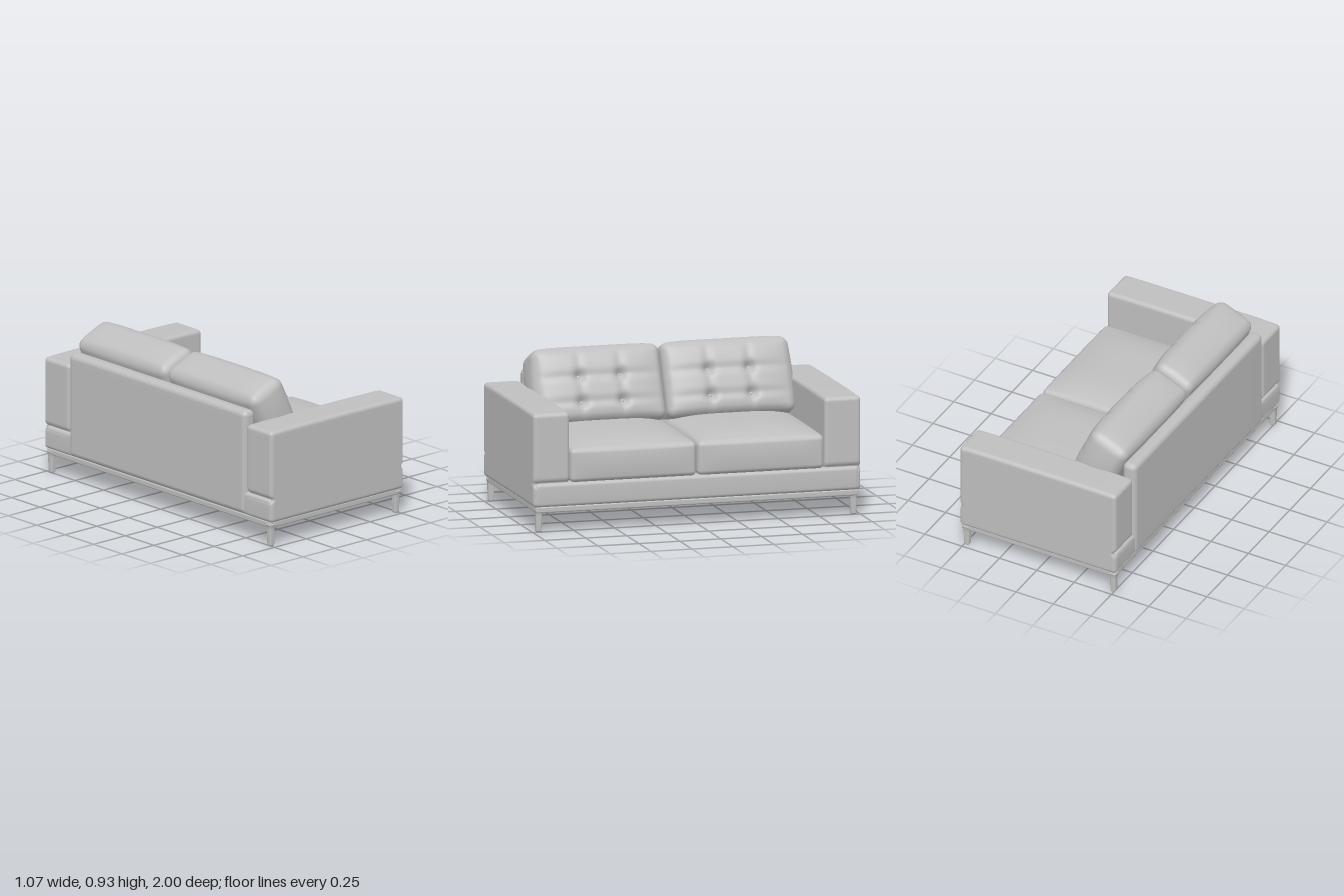
import * as THREE from 'three';
import { mergeVertices } from 'three/addons/utils/BufferGeometryUtils.js';

const fabric = new THREE.MeshStandardMaterial({ color: 0xbfbfbf });
fabric.name = 'light grey';

// Rounded box with a regular grid on its faces, so that it can be puffed and dented.
// n gives the segments per axis between the rounded edges; deform(p, u) gets u in -1..1.
function softBox(size, r, n = [4, 4, 4], deform = null, k = 4) {
  const geo = new THREE.BoxGeometry(1, 1, 1, ...n.map((s) => s + 2 * k));
  const pos = geo.attributes.position;
  const half = size.map((s) => s / 2);
  const spread = (t, a) => {
    const total = n[a] + 2 * k;
    const i = Math.round((t + 0.5) * total);
    const flat = half[a] - r;
    const corner = (j) => flat + r * Math.tan((j / k) * Math.PI / 4);
    if (i < k) return -corner(k - i);
    if (i > total - k) return corner(i - total + k);
    return flat * (2 * (i - k) / n[a] - 1);
  };
  const p = new THREE.Vector3();
  const inner = new THREE.Vector3();
  const limit = new THREE.Vector3(half[0] - r, half[1] - r, half[2] - r);
  const low = limit.clone().negate();
  for (let i = 0; i < pos.count; i++) {
    p.set(spread(pos.getX(i), 0), spread(pos.getY(i), 1), spread(pos.getZ(i), 2));
    inner.copy(p).clamp(low, limit);
    p.sub(inner).setLength(r).add(inner);
    if (deform) deform(p, new THREE.Vector3(p.x / half[0], p.y / half[1], p.z / half[2]));
    pos.setXYZ(i, p.x, p.y, p.z);
  }
  geo.deleteAttribute('uv');
  geo.deleteAttribute('normal');
  geo.clearGroups();
  const smooth = mergeVertices(geo, 1e-5);
  smooth.computeVertexNormals();
  return smooth;
}

function add(parent, name, geometry, x, y, z) {
  const mesh = new THREE.Mesh(geometry, fabric);
  mesh.name = name;
  mesh.position.set(x, y, z);
  parent.add(mesh);
  return mesh;
}

const bell = (d, width) => Math.exp(-(d * d) / (2 * width * width));
const dome = (t, power) => 1 - Math.min(1, Math.abs(t)) ** power;

// Button positions on the front of a back cushion
const buttonRows = [0.045, -0.11];
const buttonColumns = [-0.125, 0.125];

function backCushion(side) {
  const group = new THREE.Group();
  group.name = side > 0 ? 'leftBackCushion' : 'rightBackCushion';
  const geo = softBox([0.25, 0.45, 0.775], 0.045, [8, 36, 52], (p, u) => {
    const { y, z } = p;
    const front = Math.max(0, u.x);
    const puff = dome(u.y, 4) * dome(u.z, 4);
    let dent = 0;
    for (const row of buttonRows) {
      for (const col of buttonColumns) {
        dent += 0.03 * bell(Math.hypot(y - row, z - col), 0.022);
      }
      dent += 0.009 * bell(y - row, 0.018) * dome(u.z, 4);
    }
    for (const col of buttonColumns) dent += 0.009 * bell(z - col, 0.018) * dome(u.y, 4);
    p.x += front * (0.04 * puff - dent) - 0.012 * Math.max(0, -u.x) * puff;
    p.y += 0.022 * Math.max(0, u.y) * dome(u.x, 2) * dome(u.z, 6);
    // the outer end swells over the arm
    p.z += side * 0.025 * Math.max(0, side * u.z) * dome(u.x, 2) * dome(u.y, 2);
  });
  add(group, 'tuftedPad', geo, 0, 0, 0);
  const button = new THREE.SphereGeometry(0.011, 12, 8).scale(0.5, 1, 1);
  for (const row of buttonRows) {
    for (const col of buttonColumns) add(group, 'button', button, 0.118, row, col);
  }
  group.position.set(-0.272, 0.683, side * 0.393);
  group.rotation.z = THREE.MathUtils.degToRad(24);
  return group;
}

export function createModel() {
  const sofa = new THREE.Group();
  sofa.name = 'sofa';

  // Thin underframe and padded base rail
  add(sofa, 'underframe', softBox([1.03, 0.036, 1.965], 0.008), 0, 0.133, 0);
  add(sofa, 'baseRail', softBox([1.045, 0.142, 1.974], 0.022, [4, 8, 4], (p, u) => {
    p.x += 0.003 * u.x * dome(u.y, 2);
  }), 0, 0.219, 0);

  // Tapered legs, flaring into the underframe
  const leg = softBox([0.036, 0.14, 0.036], 0.01, [2, 20, 2], (p, u) => {
    const t = (u.y + 1) / 2;
    const s = 0.95 + 0.15 * t + 0.5 * Math.max(0, (t - 0.7) / 0.3) ** 2;
    p.x *= s;
    p.z *= s;
  });
  for (const x of [-0.494, 0.486]) {
    for (const z of [-0.961, 0.961]) add(sofa, 'leg', leg, x, 0.07, z);
  }

  // Arms with a pinched seam above the base rail
  const arm = softBox([1.046, 0.558, 0.222], 0.024, [16, 44, 6], (p, u) => {
    const seam = 0.02 * bell(p.y + 0.139, 0.009);
    if (Math.abs(u.x) > 0.9) p.x -= Math.sign(p.x) * seam;
    if (u.y > 0.9) p.y += 0.005 * dome(u.x, 4);
  });
  for (const side of [1, -1]) {
    add(sofa, side > 0 ? 'leftArm' : 'rightArm', arm, -0.002, 0.427, side * 0.889);
  }

  // Back panel
  add(sofa, 'backPanel', softBox([0.09, 0.632, 1.55], 0.034, [4, 10, 10]), -0.488, 0.466, 0);

  // Seat cushions with a crowned top and full front
  const seat = softBox([0.92, 0.2, 0.77], 0.028, [24, 8, 24], (p, u) => {
    const crown = dome(u.x, 4) * dome(u.z, 4);
    p.y += 0.045 * Math.max(0, u.y) * crown;
    p.x += 0.01 * Math.max(0, u.x) * dome(u.y, 2) * dome(u.z, 4);
  });
  for (const side of [1, -1]) {
    add(sofa, side > 0 ? 'leftSeatCushion' : 'rightSeatCushion', seat, 0.065, 0.387, side * 0.389);
    sofa.add(backCushion(side));
  }
  return sofa;
}
